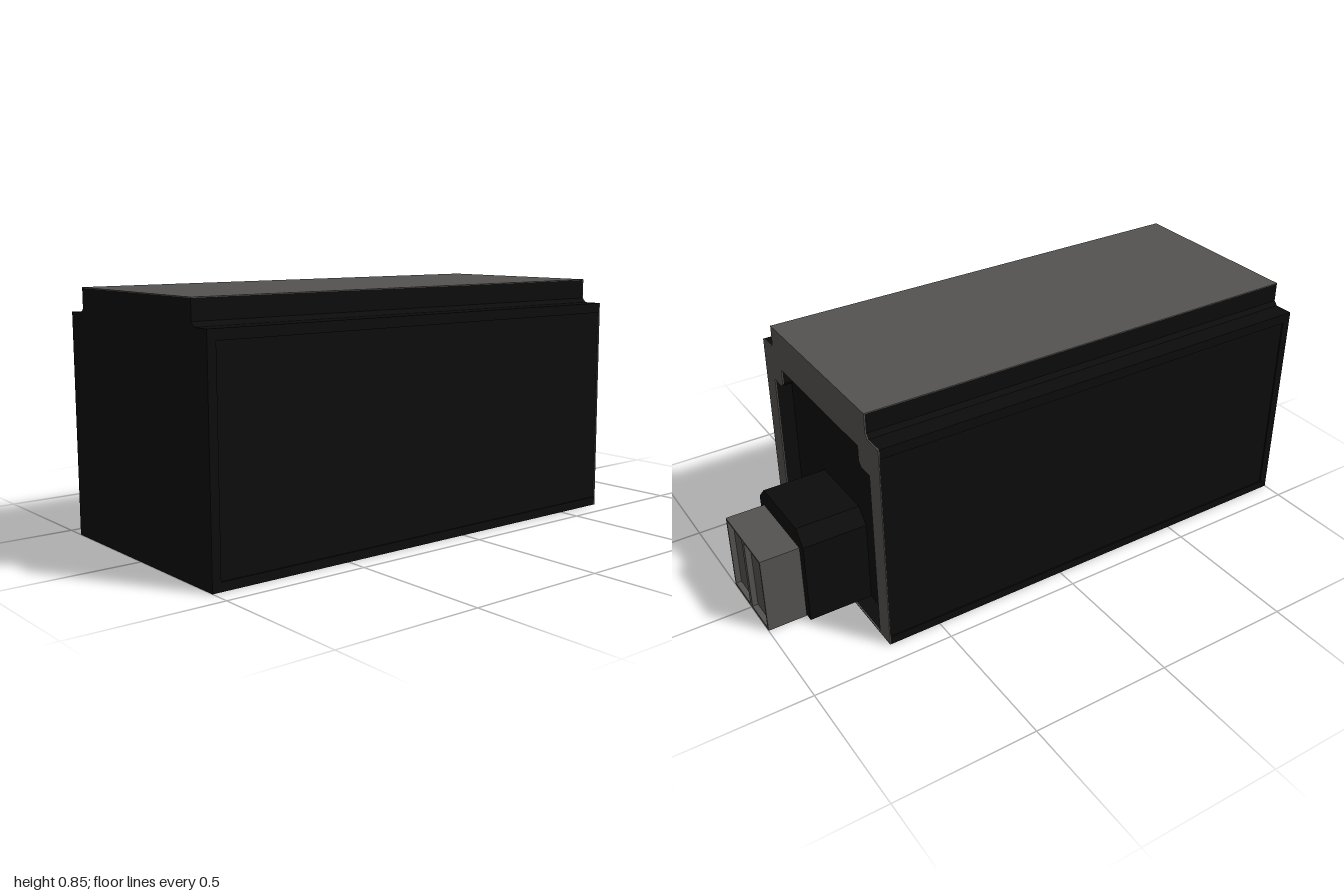
import * as THREE from 'three';

const black = new THREE.MeshStandardMaterial({ color: 0x0c0c0c });
const grey = new THREE.MeshStandardMaterial({ color: 0x555350 });

// Mirror half of an outline (z, y pairs, bottom to top) into a closed shape
function mirrored(half) {
  const left = half.map(([z, y]) => new THREE.Vector2(-z, y)).reverse();
  return new THREE.Shape([...half.map(([z, y]) => new THREE.Vector2(z, y)), ...left]);
}

function rectPath(z0, z1, y0, y1) {
  return new THREE.Path([[z0, y0], [z0, y1], [z1, y1], [z1, y0]].map(([z, y]) => new THREE.Vector2(z, y)));
}

// Extrude a cross-section along x from x0 to x1
function alongX(name, shape, x0, x1, material) {
  const geometry = new THREE.ExtrudeGeometry(shape, { depth: x1 - x0, bevelEnabled: false });
  geometry.rotateY(Math.PI / 2).translate(x0, 0, 0);
  const mesh = new THREE.Mesh(geometry, material);
  mesh.name = name;
  return mesh;
}

function box(name, size, position, material) {
  const mesh = new THREE.Mesh(new THREE.BoxGeometry(...size), material);
  mesh.name = name;
  mesh.position.set(...position);
  return mesh;
}

export function createModel() {
  const model = new THREE.Group();
  model.name = 'plugHousing';

  const END = 0.69, RECESS = 0.63;
  const outer = [[0.42, 0], [0.42, 0.765], [0.357, 0.765], [0.343, 0.78], [0.343, 0.847]];
  const rim = [[0.425, 0], [0.425, 0.765], [0.357, 0.765], [0.343, 0.78], [0.343, 0.85]];
  const inner = [[0.355, 0.004], [0.355, 0.635], [0.298, 0.635], [0.285, 0.65], [0.285, 0.705]];

  // Solid housing, then a hollow sleeve around the recessed end
  model.add(alongX('housing', mirrored(outer), -1, RECESS, black));
  const sleeve = mirrored(outer);
  sleeve.holes.push(mirrored(inner));
  model.add(alongX('recessSleeve', sleeve, RECESS, END - 0.004, black));

  // Grey face around the opening
  const face = mirrored(rim);
  face.holes.push(mirrored(inner));
  model.add(alongX('endFrame', face, END - 0.004, END, grey));

  // Grey top plate
  model.add(box('topPlate', [END + 1, 0.003, 0.686], [(END - 1) / 2, 0.8485, 0], grey));

  // Slightly raised borders around both long sides
  for (const side of [1, -1]) {
    const z = side * 0.4225;
    model.add(box('sideBorderBottom', [1.686, 0.03, 0.005], [-0.157, 0.015, z], black));
    model.add(box('sideBorderTop', [1.686, 0.035, 0.005], [-0.157, 0.7475, z], black));
    model.add(box('sideBorderBack', [0.03, 0.70, 0.005], [-0.985, 0.38, z], black));
  }

  // Black neck of the plug with chamfered upper corners
  const neck = mirrored([[0.177, 0.005], [0.177, 0.31], [0.13, 0.36]]);
  model.add(alongX('plugNeck', neck, RECESS, 0.86, black));

  // Grey plug tip with two shallow pockets
  model.add(box('plugTip', [0.12, 0.29, 0.288], [0.92, 0.145, 0], grey));
  const tipFace = mirrored([[0.144, 0], [0.144, 0.29]]);
  tipFace.holes.push(rectPath(0.01, 0.137, 0.01, 0.282), rectPath(-0.137, -0.01, 0.01, 0.282));
  model.add(alongX('plugTipRim', tipFace, 0.98, 1, grey));

  return model;
}
